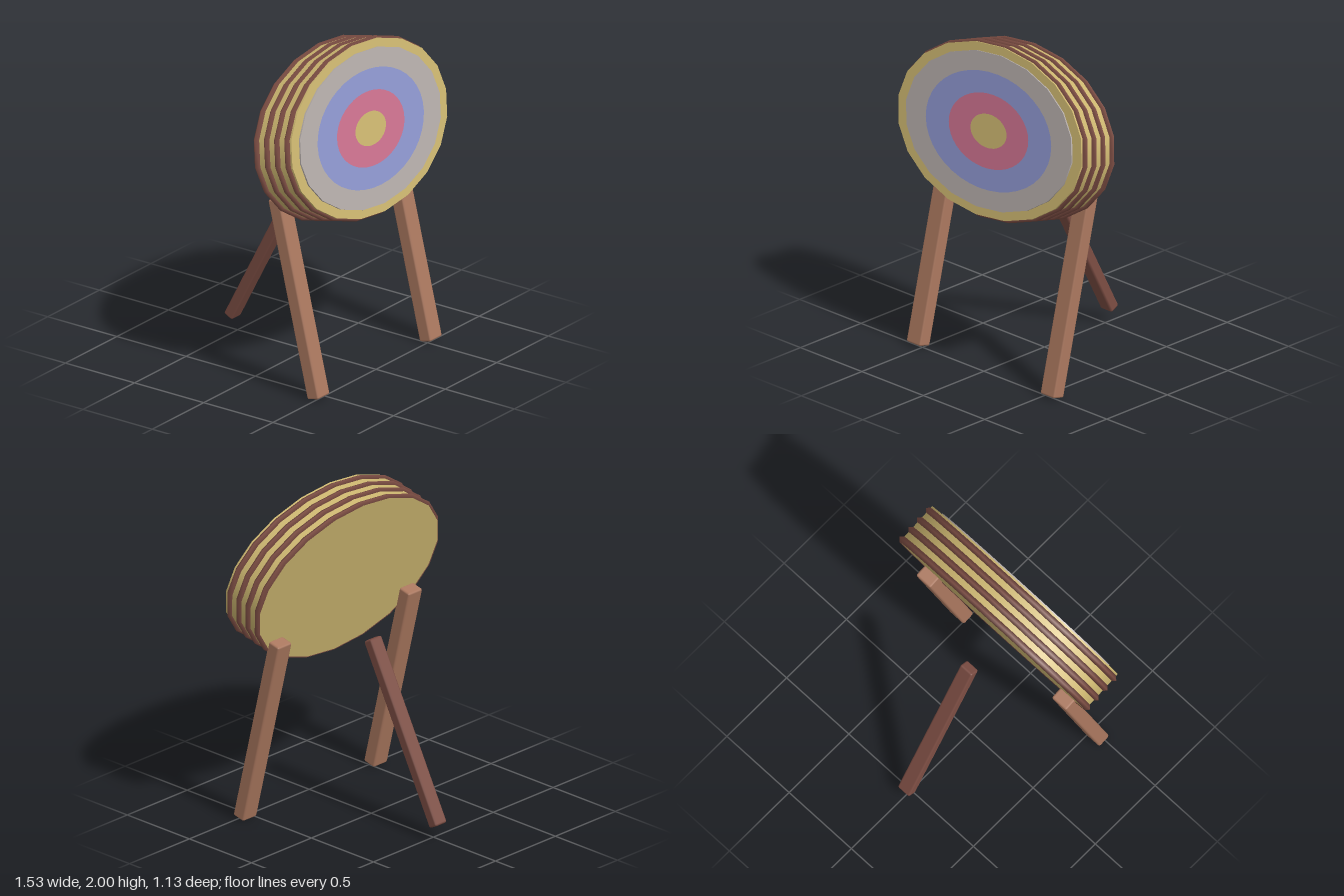
import * as THREE from 'three';
import { RoundedBoxGeometry } from 'three/addons/geometries/RoundedBoxGeometry.js';

const SQUASH = 0.675; // height of the oval face relative to its width
const SIDES = 20;

const material = (name, color) => {
  const m = new THREE.MeshStandardMaterial({ color });
  m.name = name;
  return m;
};

export function createModel() {
  const straw = material('straw', 0xcbb56f);
  const grey = material('grey', 0xb3aba8);
  const blue = material('blue', 0x8c95cd);
  const red = material('red', 0xcb718d);
  const wood = material('wood', 0xab785f);
  const darkWood = material('dark wood', 0x7c4d43);

  const model = new THREE.Group();
  model.name = 'targetOnStand';

  const add = (parent, name, geometry, mat) => {
    const mesh = new THREE.Mesh(geometry, mat);
    mesh.name = name;
    parent.add(mesh);
    return mesh;
  };

  // Oval disc facing +z, between two depths
  const ovalDisc = (radius, back, front) =>
    new THREE.CylinderGeometry(radius, radius, front - back, SIDES)
      .rotateX(Math.PI / 2)
      .scale(1, SQUASH, 1)
      .translate(0, 0, (front + back) / 2);

  // Tilted target, origin at the centre of its face
  const target = new THREE.Group();
  target.name = 'target';
  target.position.set(0, 1.505, 0.46);
  target.rotation.x = -0.232;
  model.add(target);

  add(target, 'strawBody', ovalDisc(0.745, -0.285, -0.009), straw);
  add(target, 'facePlate', ovalDisc(0.672, -0.009, 0), grey);

  // Ridged bands around the rim
  for (let i = 0; i < 4; i++) {
    const band = new THREE.TorusGeometry(0.744, 0.021, 4, SIDES).scale(1, SQUASH, 1);
    add(target, 'rimBand', band, darkWood).position.z = -0.041 - i * 0.0755;
  }

  // Painted scoring zones
  const zones = [
    ['outerRing', 0.505, 0.32, blue],
    ['innerRing', 0.32, 0.145, red],
    ['bullseye', 0.145, 0, straw],
  ];
  for (const [name, outer, inner, mat] of zones) {
    const zone = inner > 0
      ? new THREE.RingGeometry(inner, outer, 40)
      : new THREE.CircleGeometry(outer, 40);
    add(target, name, zone.scale(1, SQUASH, 1), mat).position.z = 0.002;
  }

  // Chamfered leg between two points
  const addLeg = (name, bottom, top, width, depth, mat) => {
    const axis = new THREE.Vector3().subVectors(top, bottom);
    const leg = add(model, name, new RoundedBoxGeometry(width, axis.length(), depth, 1, 0.012), mat);
    leg.position.addVectors(top, bottom).multiplyScalar(0.5);
    leg.quaternion.setFromUnitVectors(new THREE.Vector3(0, 1, 0), axis.normalize());
  };

  for (const side of [1, -1]) {
    const x = side * 0.545;
    addLeg(side > 0 ? 'leftFrontLeg' : 'rightFrontLeg',
      new THREE.Vector3(x, 0.01, 0.492), new THREE.Vector3(x, 1.193, 0.206), 0.115, 0.085, wood);
  }
  addLeg('backLeg', new THREE.Vector3(0, 0.09, -0.54), new THREE.Vector3(0, 1.112, -0.01), 0.093, 0.066, darkWood);

  return model;
}
